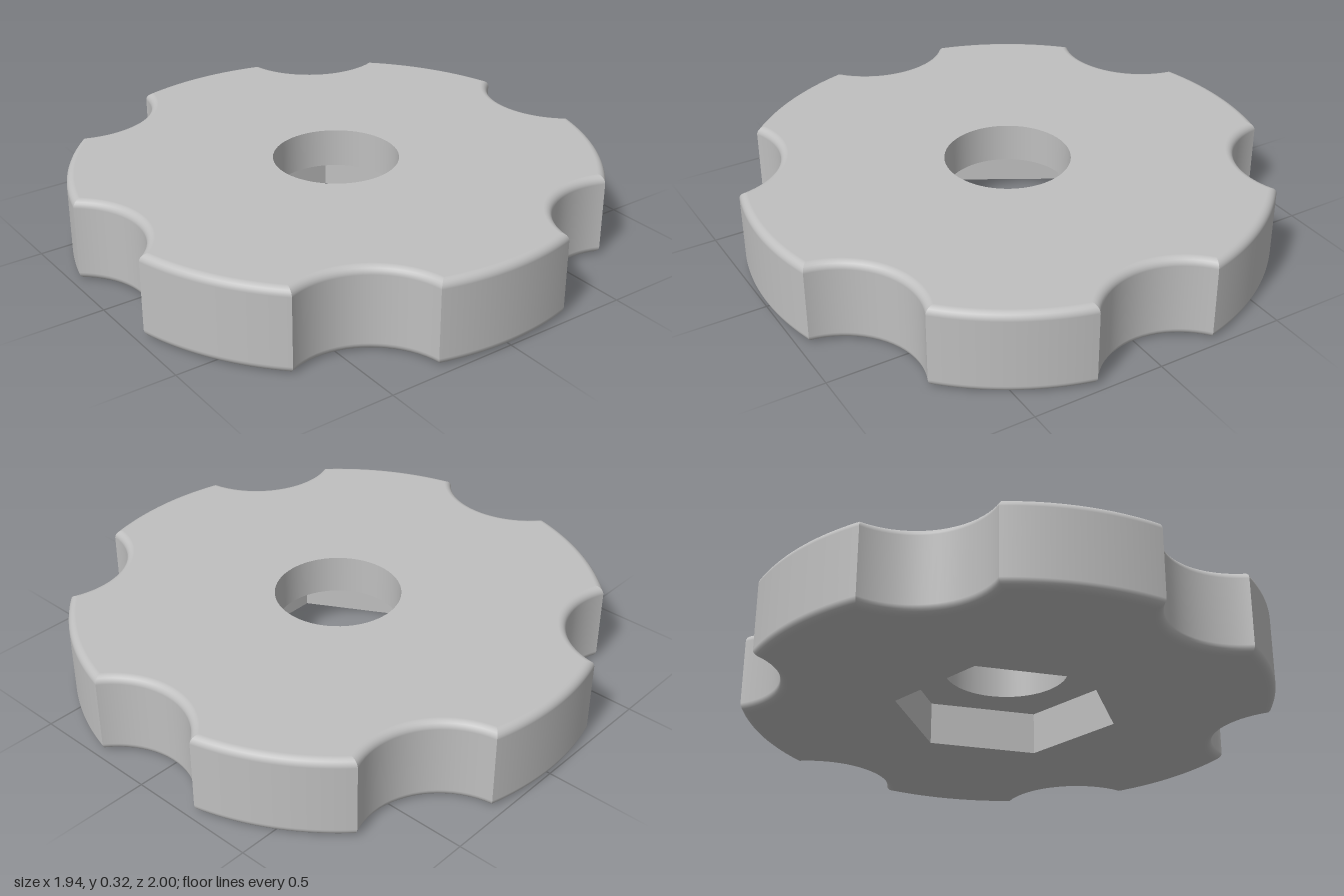
import * as THREE from 'three';
import { mergeGeometries } from 'three/addons/utils/BufferGeometryUtils.js';

const HEIGHT = 0.32, FILLET = 0.03;
const NOTCH_R = 0.298, NOTCH_C = 1.15, NOTCHES = 6;
const HOLE_R = 0.237, HEX_R = 0.425, HEX_DEPTH = 0.17;
const STEP = (Math.PI * 2) / NOTCHES;

// Plan point (x, y) and outward direction (nx, ny) on one arc of the rim, inset by d
function rimPoint(isNotch, k, t, d) {
  const R = 1 - d, r = NOTCH_R + d;
  const alpha = Math.acos((NOTCH_C ** 2 + R ** 2 - r ** 2) / (2 * NOTCH_C * R));
  if (!isNotch) {
    const a = k * STEP + alpha + t * (STEP - 2 * alpha);
    return { x: R * Math.cos(a), y: R * Math.sin(a), nx: Math.cos(a), ny: Math.sin(a) };
  }
  const beta = Math.asin((R * Math.sin(alpha)) / r);
  const a = k * STEP + Math.PI + beta * (1 - 2 * t);
  return {
    x: NOTCH_C * Math.cos(k * STEP) + r * Math.cos(a),
    y: NOTCH_C * Math.sin(k * STEP) + r * Math.sin(a),
    nx: -Math.cos(a), ny: -Math.sin(a),
  };
}

// Rounded edge profile from the bottom face to the top face
function edgeProfile(steps = 6) {
  const rows = [];
  for (const top of [false, true]) {
    for (let i = 0; i <= steps; i++) {
      const phi = ((top ? i : i - steps) / steps) * Math.PI / 2;
      rows.push({ d: FILLET * (1 - Math.cos(phi)), phi,
        y: (top ? HEIGHT - FILLET : FILLET) + FILLET * Math.sin(phi) });
    }
  }
  return rows;
}

// One arc of the rim swept along the edge profile
function rimStrip(isNotch, k, cols = 20) {
  const pos = [], nor = [], idx = [], rows = edgeProfile();
  rows.forEach(({ d, y, phi }, j) => {
    for (let i = 0; i <= cols; i++) {
      const p = rimPoint(isNotch, k, i / cols, d), c = Math.cos(phi);
      pos.push(p.x, y, -p.y);
      nor.push(p.nx * c, Math.sin(phi), -p.ny * c);
      if (i < cols && j < rows.length - 1) {
        const a = j * (cols + 1) + i, b = a + cols + 1;
        idx.push(a, a + 1, b + 1, a, b + 1, b);
      }
    }
  });
  const g = new THREE.BufferGeometry();
  g.setAttribute('position', new THREE.Float32BufferAttribute(pos, 3));
  g.setAttribute('normal', new THREE.Float32BufferAttribute(nor, 3));
  g.setIndex(idx);
  return g;
}

// Outline of the flat faces, inside the rounded edge
function faceShape(cols = 20) {
  const pts = [];
  for (let k = 0; k < NOTCHES; k++) {
    for (const isNotch of [true, false]) {
      for (let i = 0; i < cols; i++) {
        const p = rimPoint(isNotch, k, i / cols, FILLET);
        pts.push(new THREE.Vector2(p.x, p.y));
      }
    }
  }
  return new THREE.Shape(pts);
}

function polygon(radius, sides) {
  return Array.from({ length: sides }, (_, i) => {
    const a = (i / sides) * Math.PI * 2;
    return new THREE.Vector2(radius * Math.cos(a), radius * Math.sin(a));
  });
}

function flatFace(shape, holePoints, y, facing) {
  shape.holes.push(new THREE.Path(holePoints));
  return new THREE.ShapeGeometry(shape).rotateX(-facing * Math.PI / 2).translate(0, y, 0);
}

export function createModel() {
  const group = new THREE.Group();
  group.name = 'handwheelKnob';
  const grey = new THREE.MeshStandardMaterial({ color: 0xbfbfbf, side: THREE.DoubleSide });
  grey.name = 'grey';
  const add = (name, geometry) => {
    const mesh = new THREE.Mesh(geometry, grey);
    mesh.name = name;
    group.add(mesh);
  };

  // Scalloped rim: six grip arcs and six notches
  const strips = [];
  for (let k = 0; k < NOTCHES; k++) strips.push(rimStrip(true, k), rimStrip(false, k));
  add('scallopedRim', mergeGeometries(strips));

  // Flat faces
  add('topFace', flatFace(faceShape(), polygon(HOLE_R, 64), HEIGHT, 1));
  add('bottomFace', flatFace(faceShape(), polygon(HEX_R, 6), 0, -1));

  // Round bore down to the nut pocket
  const bore = HEIGHT - HEX_DEPTH;
  add('boreWall', new THREE.CylinderGeometry(HOLE_R, HOLE_R, bore, 64, 1, true)
    .rotateY(Math.PI / 2).translate(0, HEX_DEPTH + bore / 2, 0));

  // Hexagonal nut pocket in the underside, corners in line with the notches
  const hexWall = new THREE.CylinderGeometry(HEX_R, HEX_R, HEX_DEPTH, 6, 1, true)
    .rotateY(Math.PI / 2).translate(0, HEX_DEPTH / 2, 0).toNonIndexed();
  hexWall.computeVertexNormals();
  add('nutPocketWall', hexWall);
  add('nutPocketCeiling',
    flatFace(new THREE.Shape(polygon(HEX_R, 6)), polygon(HOLE_R, 64), HEX_DEPTH, -1));

  return group;
}
